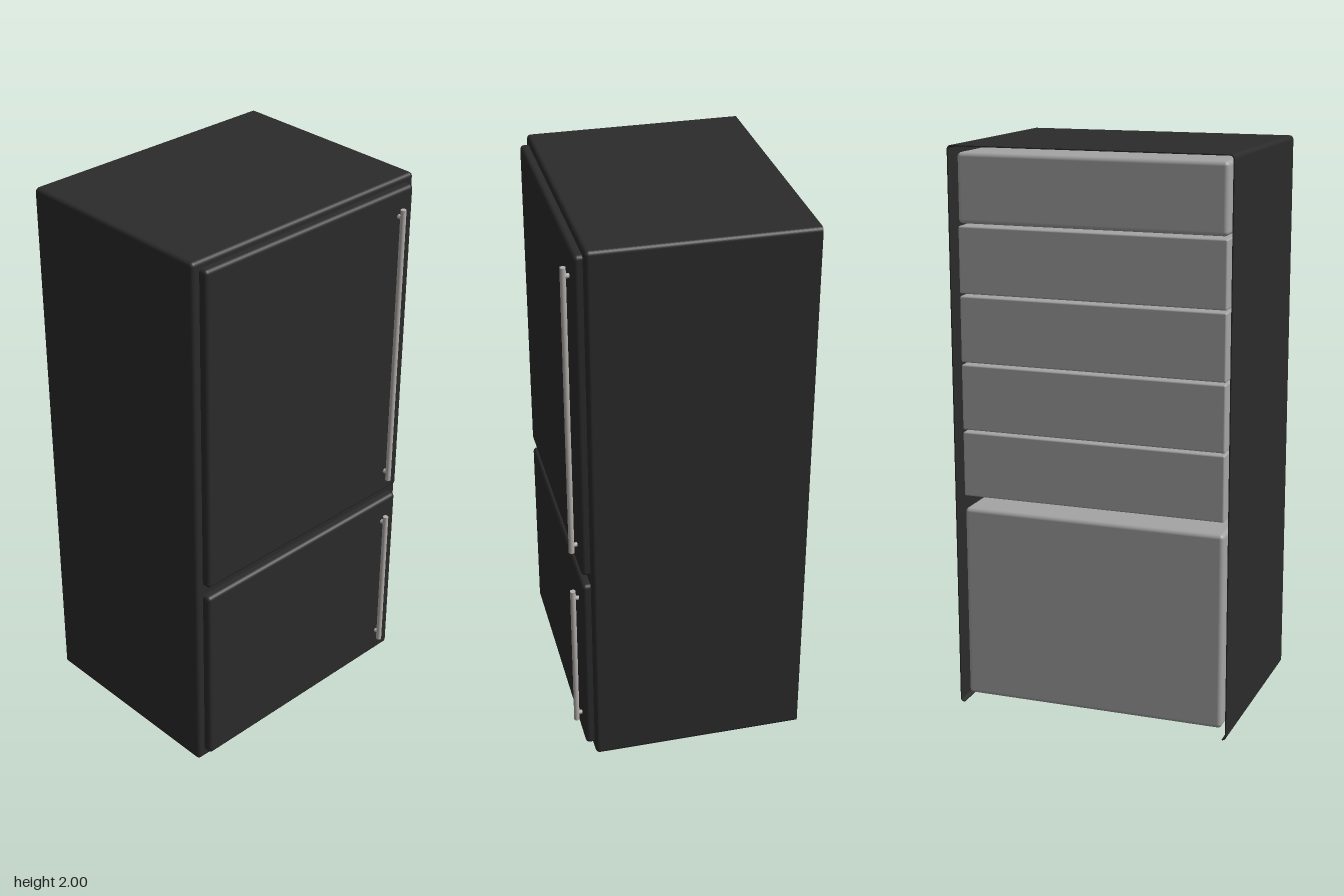
import * as THREE from 'three';
import { RoundedBoxGeometry } from 'three/addons/geometries/RoundedBoxGeometry.js';

const black = new THREE.MeshStandardMaterial({ color: 0x2b2b2b });
black.name = 'blackEnamel';
const grey = new THREE.MeshStandardMaterial({ color: 0xa4a4a4 });
grey.name = 'greyLiner';
const steel = new THREE.MeshStandardMaterial({ color: 0xb2aeaa });
steel.name = 'steel';

const R = 0.015; // edge rounding

export function createModel() {
  const group = new THREE.Group();
  group.name = 'refrigerator';

  function add(name, geometry, material, parent = group) {
    const mesh = new THREE.Mesh(geometry, material);
    mesh.name = name;
    parent.add(mesh);
    return mesh;
  }

  // Rounded block given by its x and y ranges and half width in z
  function block(name, x0, x1, y0, y1, halfZ, material, radius = R) {
    const mesh = add(name, new RoundedBoxGeometry(x1 - x0, y1 - y0, halfZ * 2, 4, radius), material);
    mesh.position.set((x0 + x1) / 2, (y0 + y1) / 2, 0);
  }

  // Thin cabinet skin: an inverted U, open at the back and the bottom
  const w = 0.5, t = 0.004;
  const skin = new THREE.Shape();
  skin.moveTo(-w, R);
  skin.lineTo(-w, 2 - R);
  skin.absarc(-w + R, 2 - R, R, Math.PI, Math.PI / 2, true);
  skin.lineTo(w - R, 2);
  skin.absarc(w - R, 2 - R, R, Math.PI / 2, 0, true);
  skin.lineTo(w, R);
  skin.absarc(w - R, R, R, 0, -Math.PI / 2, true);
  skin.lineTo(w - R, t);
  skin.absarc(w - R, R, R - t, -Math.PI / 2, 0, false);
  skin.lineTo(w - t, 2 - R);
  skin.absarc(w - R, 2 - R, R - t, 0, Math.PI / 2, false);
  skin.lineTo(-w + R, 2 - t);
  skin.absarc(-w + R, 2 - R, R - t, Math.PI / 2, Math.PI, false);
  skin.lineTo(-w + t, R);
  skin.absarc(-w + R, R, R - t, Math.PI, Math.PI * 1.5, false);
  skin.lineTo(-w + R, 0);
  skin.absarc(-w + R, R, R, Math.PI * 1.5, Math.PI, true);
  const skinGeometry = new THREE.ExtrudeGeometry(skin, { depth: 0.745, bevelEnabled: false, curveSegments: 6 });
  skinGeometry.rotateY(Math.PI / 2).translate(-0.41, 0, 0);
  add('cabinetSkin', skinGeometry, black);
  block('cabinetFront', 0.315, 0.35, 0, 2, w, black);

  // Inner compartments seen through the open back
  block('freezerLiner', -0.39, 0.33, 0.03, 0.73, 0.475, grey);
  for (let i = 0; i < 5; i++) {
    const y = 0.775 + i * 0.24;
    block('shelfLiner' + (i + 1), -0.39, 0.33, y, y + (i < 4 ? 0.232 : 0.2), 0.475, grey, i < 4 ? 0.006 : R);
  }
  block('upperLinerTop', -0.39, 0.33, 1.9, 1.975, 0.475, grey);

  // Doors with bar handles on two posts each
  const doors = [
    { name: 'upper', y0: 0.775, y1: 1.975, h0: 0.835, h1: 1.91 },
    { name: 'lower', y0: 0.03, y1: 0.735, h0: 0.095, h1: 0.67 },
  ];
  for (const d of doors) {
    block(d.name + 'Door', 0.335, 0.38, d.y0, d.y1, 0.47, black);
    const handle = new THREE.Group();
    handle.name = d.name + 'Handle';
    group.add(handle);
    const bar = add('handleBar', new THREE.CylinderGeometry(0.01, 0.01, d.h1 - d.h0, 16), steel, handle);
    bar.position.set(0.4, (d.h0 + d.h1) / 2, -0.4);
    for (const y of [d.h0 + 0.03, d.h1 - 0.03]) {
      const post = add('handlePost', new THREE.CylinderGeometry(0.008, 0.008, 0.025, 12), steel, handle);
      post.rotation.z = Math.PI / 2;
      post.position.set(0.3875, y, -0.4);
    }
  }
  return group;
}
